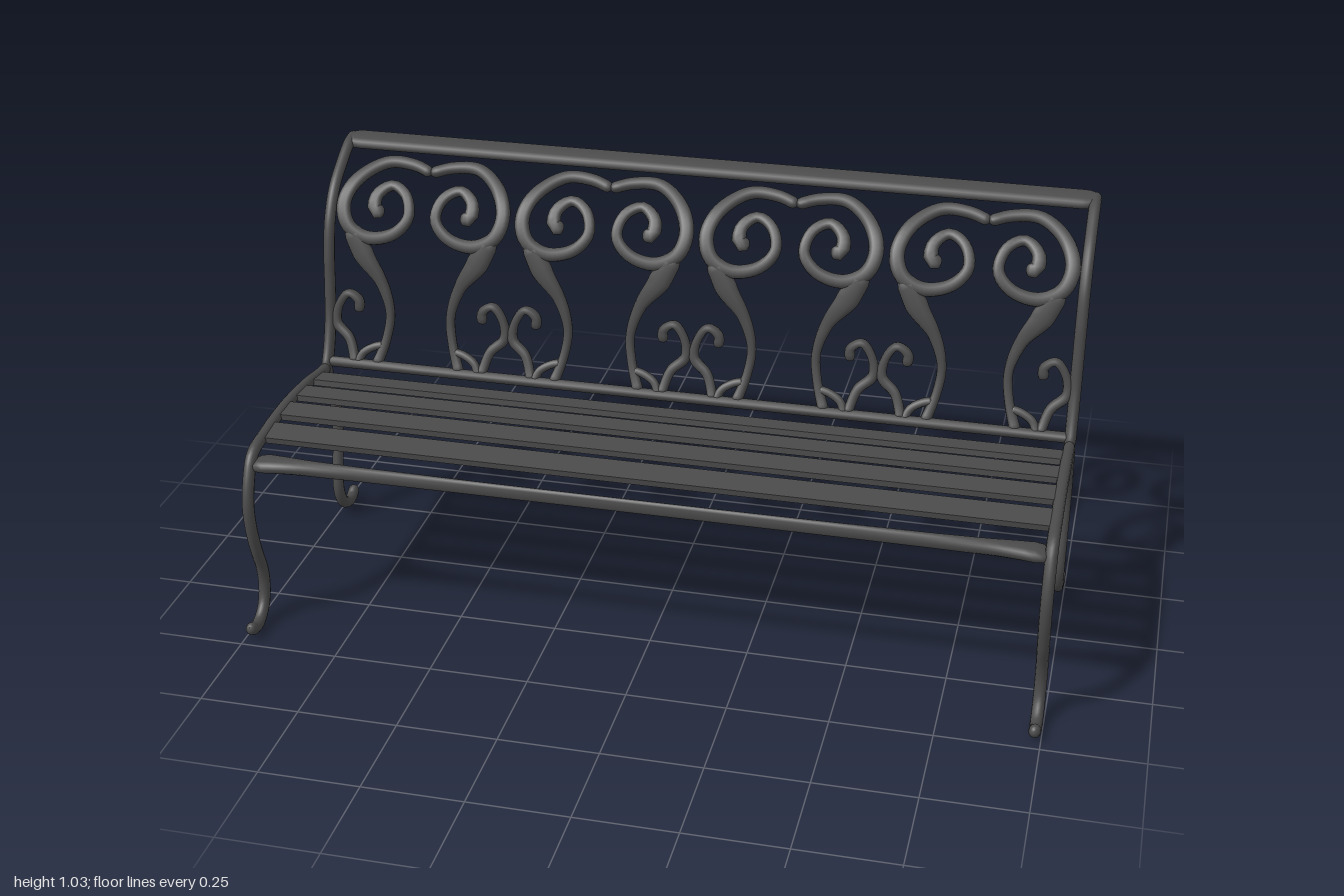
import * as THREE from 'three';

const iron = new THREE.MeshStandardMaterial({ color: 0x4a4a4a });
iron.name = 'dark iron';

const curveOf = (pts) => new THREE.CatmullRomCurve3(pts.map(([a, b]) => new THREE.Vector3(a, b, 0)));
const lerpList = (list, u) => {
  const f = u * (list.length - 1), i = Math.min(Math.floor(f), list.length - 2);
  return list.length === 1 ? list[0] : THREE.MathUtils.lerp(list[i], list[i + 1], f - i);
};

// Sweep a rounded section along a planar path: widths lie in the plane, depth across it.
// place(a, b, c) puts the right-handed local frame into the model.
function sweep(name, pts, widths, depth, place, steps = 60, sides = 12, square = 1) {
  const curve = curveOf(pts), len = curve.getLength();
  const r0 = Math.min(widths[0], len / 3) / len, r1 = Math.min(widths.at(-1), len / 3) / len;
  const us = [0, 0.06, 0.2, 0.5].map((k) => k * r0);
  for (let i = 0; i <= steps; i++) us.push(r0 + (1 - r0 - r1) * i / steps);
  us.push(...[0.5, 0.2, 0.06, 0].map((k) => 1 - k * r1));
  const pos = [], index = [];
  const bend = (v) => Math.sign(v) * Math.abs(v) ** square;
  us.forEach((u, i) => {
    const p = curve.getPointAt(u), t = curve.getTangentAt(u);
    const e = Math.min(1, u / r0, (1 - u) / r1); // rounded tips
    const round = Math.max(0.04, Math.sqrt(Math.max(0, 1 - (1 - e) ** 2)));
    const w = lerpList(widths, u) * round, d = depth * round;
    for (let j = 0; j < sides; j++) {
      const q = j / sides * Math.PI * 2, n = w * bend(Math.cos(q));
      pos.push(...place(p.x - t.y * n, p.y + t.x * n, d * bend(Math.sin(q))));
      if (i < us.length - 1) {
        const k = (j + 1) % sides, A = i * sides, B = A + sides;
        index.push(A + j, A + k, B + k, A + j, B + k, B + j);
      }
    }
  });
  const g = new THREE.BufferGeometry();
  g.setAttribute('position', new THREE.Float32BufferAttribute(pos, 3));
  g.setIndex(index);
  g.computeVertexNormals();
  const mesh = new THREE.Mesh(g, iron);
  mesh.name = name;
  return mesh;
}

// Side profiles as [z, y]
const BACK = [[-0.145, 0.46], [-0.175, 0.52], [-0.2, 0.6], [-0.213, 0.69], [-0.222, 0.77], [-0.245, 0.86],
  [-0.29, 0.93], [-0.36, 0.98], [-0.42, 1.012], [-0.465, 1.02]];
const SEAT_AND_FRONT_LEG = [[-0.15, 0.47], [-0.09, 0.477], [0, 0.492], [0.15, 0.5], [0.28, 0.49], [0.365, 0.473],
  [0.395, 0.43], [0.416, 0.36], [0.414, 0.3], [0.395, 0.22], [0.37, 0.15], [0.365, 0.1], [0.38, 0.05],
  [0.415, 0.02], [0.45, 0.019], [0.477, 0.036]];
const REAR_LEG = [[-0.145, 0.48], [-0.16, 0.415], [-0.185, 0.36], [-0.195, 0.3], [-0.186, 0.22], [-0.17, 0.14],
  [-0.168, 0.09], [-0.187, 0.045], [-0.225, 0.02], [-0.258, 0.02], [-0.285, 0.04]];

const backCurve = curveOf(BACK);
backCurve.arcLengthDivisions = 600;
const backLen = backCurve.getLength();

// Distance along the back profile at height y
function rise(y) {
  let lo = 0, hi = 1;
  for (let i = 0; i < 24; i++) {
    const m = (lo + hi) / 2;
    if (backCurve.getPointAt(m).y < y) lo = m; else hi = m;
  }
  return lo * backLen;
}

// Wrap (x, distance up the back, depth) onto the curved back
function onBack(x, s, n) {
  const u = THREE.MathUtils.clamp(s / backLen, 0, 1), extra = s - u * backLen;
  const p = backCurve.getPointAt(u), t = backCurve.getTangentAt(u);
  return [x, p.y + t.y * extra - t.x * n, p.x + t.x * extra + t.y * n];
}

// Half motif strokes of the lattice as [x from motif centre, height]
const STROKES = [
  { name: 'latticeScroll', widths: [0.015, 0.017, 0.019, 0.02, 0.018, 0.015, 0.014, 0.022],
    pts: [[0.246, 0.972], [0.19, 0.984], [0.12, 0.985], [0.055, 0.955], [0.026, 0.9], [0.045, 0.848], [0.1, 0.822],
      [0.17, 0.838], [0.207, 0.88], [0.192, 0.928], [0.15, 0.945], [0.113, 0.922], [0.115, 0.89], [0.14, 0.89]] },
  { name: 'latticeStem', widths: [0.026, 0.03, 0.017, 0.012, 0.012, 0.015],
    pts: [[0.05, 0.85], [0.09, 0.775], [0.135, 0.71], [0.16, 0.63], [0.153, 0.56], [0.128, 0.485]] },
  { name: 'latticeHook', widths: [0.015, 0.011, 0.011, 0.014, 0.013, 0.013],
    pts: [[0.072, 0.618], [0.073, 0.65], [0.045, 0.668], [0.018, 0.635], [0.012, 0.585], [0.048, 0.548], [0.07, 0.485]] },
  { name: 'latticeFoot', widths: [0.011],
    pts: [[0.15, 0.54], [0.12, 0.533], [0.09, 0.515], [0.075, 0.485]] },
];

export function createModel() {
  const bench = new THREE.Group();
  bench.name = 'bench';

  // Side frames with curled legs
  for (const side of [-1, 1]) {
    const frame = new THREE.Group();
    frame.name = side > 0 ? 'leftFrame' : 'rightFrame';
    const place = (z, y, c) => [side * 0.984 - c, y, z];
    frame.add(
      sweep('backPost', BACK, [0.022, 0.016, 0.014, 0.014, 0.014, 0.015], 0.015, place),
      sweep('seatSideAndFrontLeg', SEAT_AND_FRONT_LEG, [0.018, 0.015, 0.015, 0.016, 0.015, 0.016, 0.017], 0.015, place, 90),
      sweep('rearLeg', REAR_LEG, [0.02, 0.015, 0.015, 0.016, 0.017], 0.015, place),
    );
    bench.add(frame);
  }

  // Scrolled lattice: mirrored half motifs between the frames
  const lattice = new THREE.Group();
  lattice.name = 'backLattice';
  const pitch = 0.488;
  for (let i = -2; i <= 2; i++) {
    for (const m of [-1, 1]) {
      if (i * m === 2) continue;
      for (const { name, widths, pts } of STROKES) {
        const path = pts.map(([x, y]) => [i * pitch + m * x, rise(y)]);
        lattice.add(sweep(name, path, widths, 0.013, onBack, 56, 10, 0.8));
      }
    }
  }
  bench.add(lattice);

  // Back rails
  const across = (b, half) => [[-half, b], [0, b], [half, b]];
  bench.add(
    sweep('topRail', across(backLen - 0.025, 0.999), [0.014, ...Array(60).fill(0.037), 0.014], 0.014, onBack, 120, 16, 0.75),
    sweep('lowerBackRail', across(rise(0.487), 0.985), [0.014], 0.016, onBack, 8),
  );

  // Front rail, flaring into the frames
  bench.add(sweep('frontRail',
    [[-0.985, -0.366], [-0.92, -0.371], [-0.8, -0.378], [-0.5, -0.381], [0, -0.382], [0.5, -0.381], [0.8, -0.378],
      [0.92, -0.371], [0.985, -0.366]],
    [0.04, 0.02, 0.014, 0.012, 0.01, 0.009, 0.008, 0.008, 0.008, 0.009, 0.01, 0.012, 0.014, 0.02, 0.04], 0.018,
    (x, b, c) => [x, 0.46 + c - 0.012 * Math.abs(x) ** 12, -b], 80, 12, 0.8));

  // Seat slats following the seat curve: [z, y, tilt]
  for (const [z, y, tilt] of [[-0.055, 0.484, -0.15], [0.06, 0.497, -0.07], [0.17, 0.5, 0.03], [0.275, 0.491, 0.13]]) {
    const slat = new THREE.Mesh(new THREE.BoxGeometry(1.95, 0.016, 0.071), iron);
    slat.name = 'seatSlat';
    slat.position.set(0, y, z);
    slat.rotation.x = tilt;
    bench.add(slat);
  }
  return bench;
}
